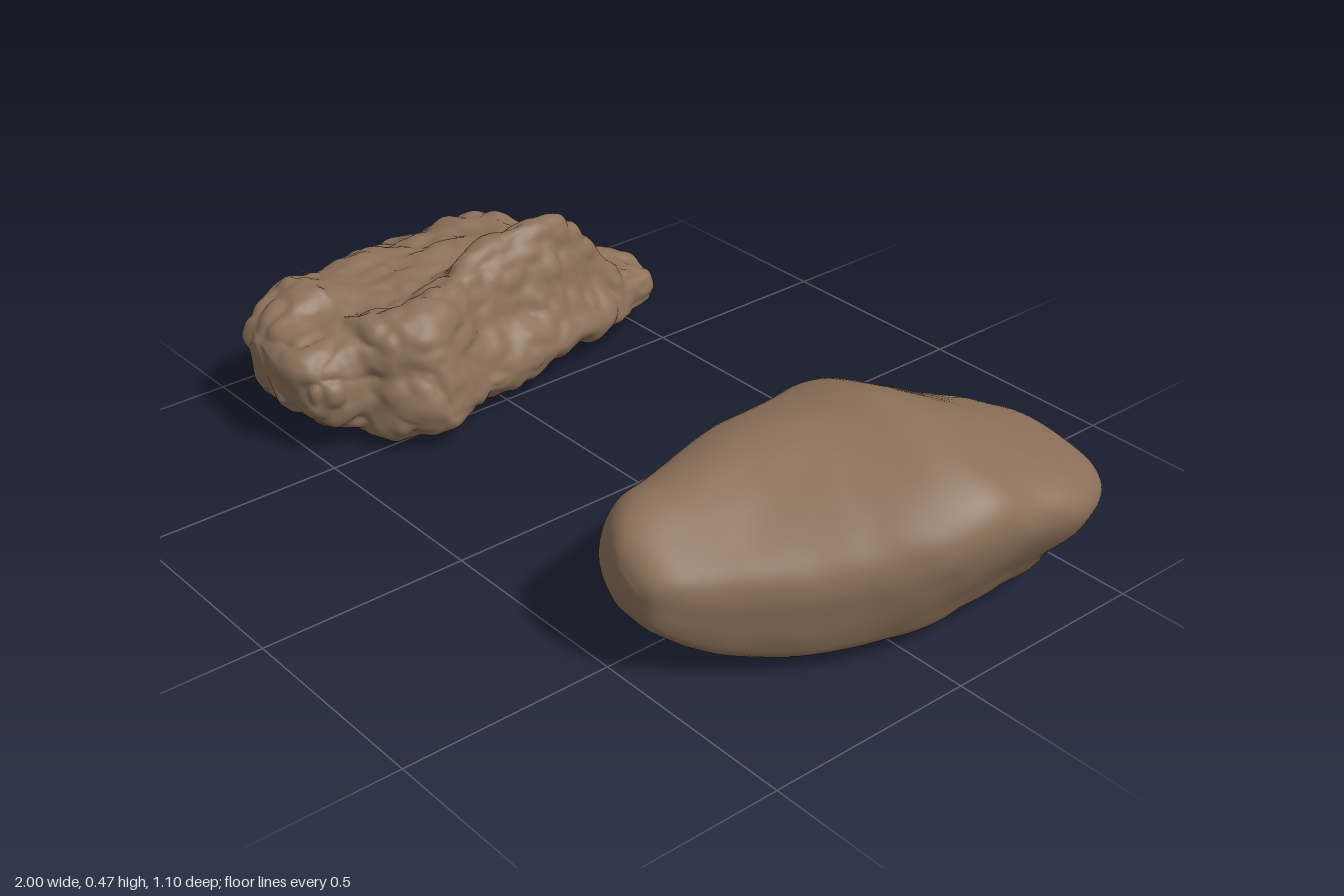
import * as THREE from 'three';

// Repeatable value noise in -1..1
function hash(x, y, z) {
  const s = Math.sin(x * 127.1 + y * 311.7 + z * 74.7) * 43758.5453;
  return (s - Math.floor(s)) * 2 - 1;
}
function noise(x, y, z) {
  const ix = Math.floor(x), iy = Math.floor(y), iz = Math.floor(z);
  const ease = t => t * t * t * (t * (t * 6 - 15) + 10);
  const u = ease(x - ix), v = ease(y - iy), w = ease(z - iz);
  const mix = THREE.MathUtils.lerp;
  const edge = (b, c) => mix(hash(ix, iy + b, iz + c), hash(ix + 1, iy + b, iz + c), u);
  return mix(mix(edge(0, 0), edge(1, 0), v), mix(edge(0, 1), edge(1, 1), v), w);
}

// Closed outline in a unit box, smoothed through its points
const outline = pts => new THREE.CatmullRomCurve3(
  pts.map(([u, v]) => new THREE.Vector3(u, v, 0)), true, 'catmullrom', 0.5);

// Stations run back to front: z, xMin, xMax, yMin, yMax, blend from back to front outline
function rockGeometry(stations, backShape, frontShape, rings, sides, displace) {
  const widths = new THREE.CatmullRomCurve3(
    stations.map(s => new THREE.Vector3(s[1], s[2], s[0])), false, 'catmullrom', 0.5);
  const heights = new THREE.CatmullRomCurve3(
    stations.map(s => new THREE.Vector3(s[3], s[4], s[5])), false, 'catmullrom', 0.5);
  const back = outline(backShape), front = outline(frontShape);
  const pos = [], index = [];

  for (let i = 0; i <= rings; i++) {
    const w = widths.getPoint(i / rings), h = heights.getPoint(i / rings);
    for (let j = 0; j < sides; j++) {
      const p = back.getPoint(j / sides).lerp(front.getPoint(j / sides), h.z);
      pos.push(w.x + (w.y - w.x) * p.x, h.x + (h.y - h.x) * p.y, w.z);
    }
  }
  // End points close the rock
  const tips = [0, 1].map(t => {
    const w = widths.getPoint(t), h = heights.getPoint(t);
    pos.push((w.x + w.y) / 2, (h.x + h.y) / 2, w.z + (t ? 0.004 : -0.004));
    return pos.length / 3 - 1;
  });
  for (let j = 0; j < sides; j++) {
    const k = (j + 1) % sides, last = rings * sides;
    for (let i = 0; i < rings; i++) {
      const a = i * sides + j, b = i * sides + k, c = a + sides, d = b + sides;
      index.push(a, c, b, b, c, d);
    }
    index.push(tips[0], j, k, tips[1], last + k, last + j);
  }
  const geo = new THREE.BufferGeometry();
  geo.setAttribute('position', new THREE.Float32BufferAttribute(pos, 3));
  geo.setIndex(index);
  geo.computeVertexNormals();

  // Push the surface along its normals
  const P = geo.attributes.position, N = geo.attributes.normal;
  for (let i = 0; i < P.count; i++) {
    const x = P.getX(i), y = P.getY(i), z = P.getZ(i), d = displace(x, y, z);
    P.setXYZ(i, x + N.getX(i) * d, Math.max(0, y + N.getY(i) * d), z + N.getZ(i) * d);
  }
  geo.computeVertexNormals();
  return geo;
}

export function createModel() {
  const group = new THREE.Group();
  group.name = 'rocks';
  const stone = new THREE.MeshStandardMaterial({ color: 0x8b7059 });
  stone.name = 'brown stone';

  // Smooth boulder: high undercut shoulder at the back, sloping top and steep side in front
  const smoothBack = [
    [0, 0.43], [0.02, 0.6], [0.12, 0.8], [0.22, 0.9], [0.45, 0.99], [0.66, 0.98], [0.88, 0.9], [0.98, 0.79],
    [1, 0.66], [0.96, 0.49], [0.87, 0.3], [0.8, 0.12], [0.7, 0.02], [0.5, 0], [0.27, 0.04], [0.11, 0.18]];
  const smoothFront = [
    [0, 0.5], [0.03, 0.68], [0.12, 0.87], [0.23, 0.97], [0.38, 1], [0.58, 0.92], [0.8, 0.78], [0.95, 0.66],
    [1, 0.53], [0.99, 0.37], [0.96, 0.2], [0.89, 0.07], [0.7, 0.01], [0.5, 0.01], [0.27, 0.08], [0.09, 0.28]];
  const smoothStations = [
    [-0.535, 0.67, 0.76, 0.18, 0.235, 0.3],
    [-0.53, 0.61, 0.82, 0.145, 0.26, 0.2],
    [-0.515, 0.55, 0.875, 0.11, 0.285, 0.15],
    [-0.48, 0.48, 0.925, 0.075, 0.315, 0.1],
    [-0.42, 0.415, 0.965, 0.04, 0.345, 0],
    [-0.33, 0.375, 0.997, 0.02, 0.38, 0],
    [-0.22, 0.345, 0.985, 0.005, 0.43, 0.15],
    [-0.1, 0.328, 0.978, 0, 0.473, 0.3],
    [0.01, 0.32, 0.945, 0.006, 0.452, 0.5],
    [0.12, 0.32, 0.885, 0.01, 0.43, 0.8],
    [0.23, 0.335, 0.81, 0.015, 0.4, 1],
    [0.33, 0.355, 0.735, 0.035, 0.37, 1],
    [0.4, 0.375, 0.685, 0.065, 0.35, 1],
    [0.45, 0.415, 0.65, 0.1, 0.325, 1],
    [0.48, 0.46, 0.62, 0.135, 0.29, 1],
    [0.495, 0.515, 0.58, 0.18, 0.245, 1]];
  const boulder = new THREE.Mesh(rockGeometry(smoothStations, smoothBack, smoothFront, 90, 80,
    (x, y, z) => 0.005 * noise(x * 7, y * 7, z * 7) + 0.002 * noise(x * 15, y * 15, z * 15)), stone);
  boulder.name = 'smoothBoulder';
  group.add(boulder);

  // Craggy rock: crest along the inner top, low ledge below it, blunt high front block
  const roughBack = [
    [0, 0.6], [0.05, 0.68], [0.14, 0.74], [0.24, 0.78], [0.42, 0.79], [0.57, 0.81], [0.68, 0.98], [0.77, 0.97],
    [0.84, 0.78], [0.88, 0.56], [0.98, 0.33], [1, 0.2], [0.9, 0.07], [0.7, 0.03], [0.5, 0], [0.24, 0],
    [0.15, 0.1], [0.08, 0.36]];
  const roughFront = [
    [0, 0.65], [0.03, 0.79], [0.09, 0.92], [0.2, 1], [0.42, 0.99], [0.6, 0.88], [0.76, 0.85], [0.88, 0.79],
    [0.96, 0.69], [1, 0.54], [0.99, 0.36], [0.96, 0.18], [0.88, 0.07], [0.7, 0.02], [0.5, 0], [0.28, 0.01],
    [0.17, 0.11], [0.07, 0.37]];
  const roughStations = [
    [-0.545, -0.71, -0.61, 0.075, 0.145, 1],
    [-0.53, -0.75, -0.575, 0.05, 0.165, 1],
    [-0.46, -0.775, -0.56, 0.035, 0.19, 0.8],
    [-0.39, -0.8, -0.54, 0.03, 0.235, 0.4],
    [-0.32, -0.845, -0.515, 0.03, 0.315, 0.1],
    [-0.24, -0.91, -0.485, 0.03, 0.385, 0],
    [-0.15, -0.955, -0.46, 0.025, 0.4, 0],
    [-0.05, -0.985, -0.445, 0.02, 0.385, 0],
    [0.05, -0.985, -0.435, 0.015, 0.365, 0.15],
    [0.15, -0.965, -0.405, 0.015, 0.36, 0.35],
    [0.25, -0.935, -0.365, 0.01, 0.36, 0.4],
    [0.34, -0.915, -0.43, 0.01, 0.355, 0.65],
    [0.39, -0.895, -0.51, 0.025, 0.345, 0.95],
    [0.46, -0.87, -0.515, 0.055, 0.31, 1],
    [0.51, -0.84, -0.54, 0.09, 0.28, 1],
    [0.54, -0.79, -0.6, 0.13, 0.24, 1]];
  // Rounded lumps split by creases
  const lumps = (x, y, z, f) => Math.abs(noise(x * f, y * f, z * f + 3)) - 0.3;
  const crag = new THREE.Mesh(rockGeometry(roughStations, roughBack, roughFront, 150, 144,
    (x, y, z) => 0.02 * lumps(x, y, z * 0.7, 8) + 0.013 * lumps(x, y, z, 17)
      + 0.004 * noise(x * 32, y * 32, z * 32)), stone);
  crag.name = 'craggyRock';
  group.add(crag);

  return group;
}
